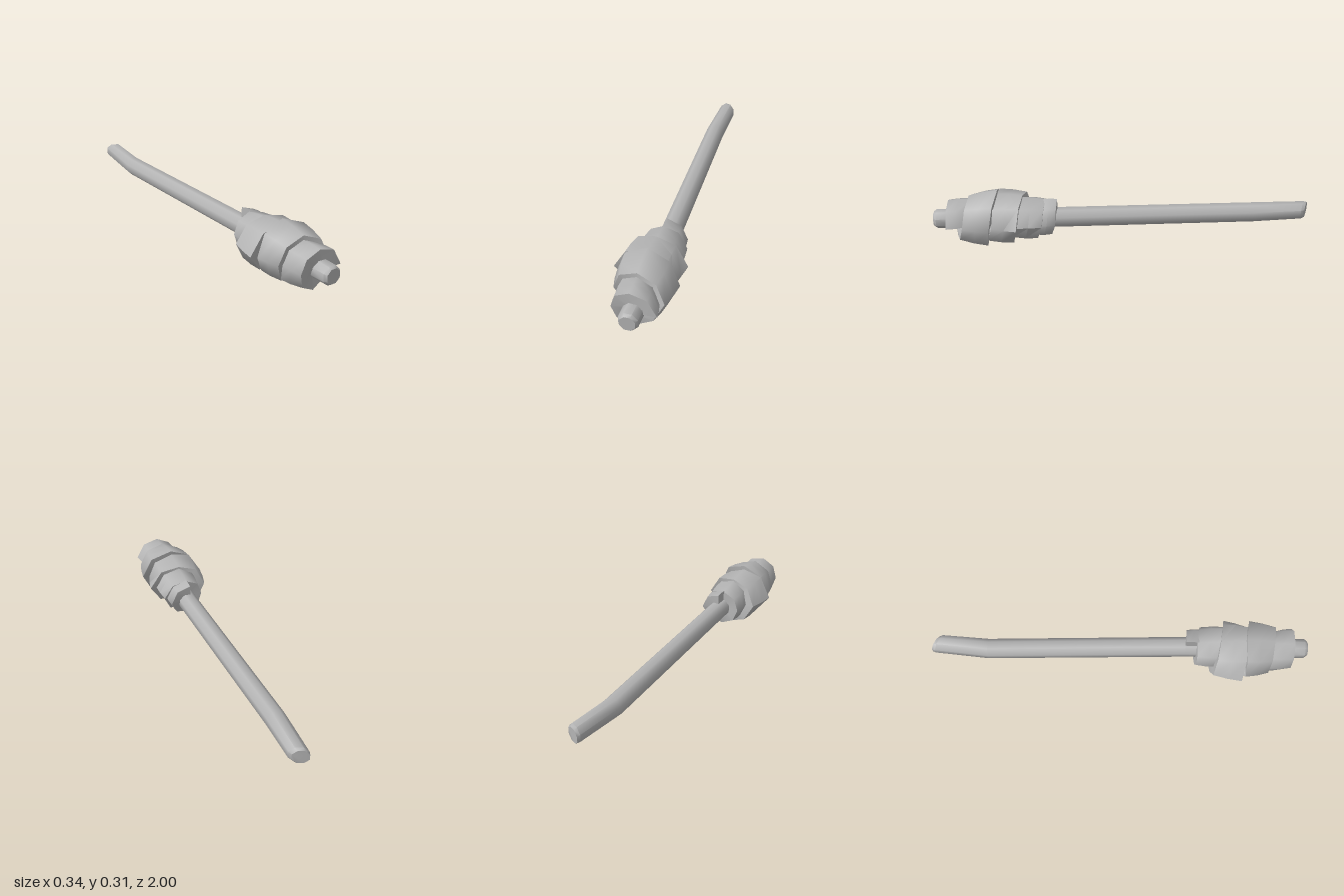
import * as THREE from 'three';
import { toCreasedNormals } from 'three/addons/utils/BufferGeometryUtils.js';

// Skin a closed solid over a row of cross-sections (each counter-clockwise seen from ahead).
function loft(rings, crease) {
  const n = rings[0].length, pos = [], idx = [];
  rings.forEach(r => r.forEach(p => pos.push(p.x, p.y, p.z)));
  for (let i = 0; i < rings.length - 1; i++) {
    for (let j = 0; j < n; j++) {
      const a = i * n + j, b = i * n + (j + 1) % n;
      idx.push(a, b, b + n, a, b + n, a + n);
    }
  }
  const last = (rings.length - 1) * n;
  for (let j = 1; j < n - 1; j++) {
    idx.push(0, j + 1, j);
    idx.push(last, last + j, last + j + 1);
  }
  const g = new THREE.BufferGeometry();
  g.setAttribute('position', new THREE.Float32BufferAttribute(pos, 3));
  g.setIndex(idx);
  return toCreasedNormals(g, crease);
}

export function createModel() {
  const group = new THREE.Group();
  const grey = new THREE.MeshStandardMaterial({ color: 0xb4b4b4 });
  grey.name = 'plain grey';

  // Stick: slightly bent octagonal rod; each entry is x, y, z, radius, end slant
  const spine = [
    [-0.005, 0.157, -0.98, 0.04, 0.45], [-0.004, 0.156, -0.962, 0.047, 0.4],
    [-0.019, 0.14, -0.7, 0.052, 0], [0.012, 0.148, 0.35, 0.053, 0],
    [0.015, 0.152, 0.9, 0.051, 0], [0.015, 0.153, 0.985, 0.05, 0], [0.015, 0.153, 1, 0.04, 0],
  ];
  const stickRings = spine.map(([x, y, z, r, slant]) =>
    Array.from({ length: 8 }, (_, j) => {
      const a = (j + 0.5) * Math.PI / 4, c = Math.cos(a) * r;
      return new THREE.Vector3(x + c, y + Math.sin(a) * r, z + c * slant);
    }));
  const stick = new THREE.Mesh(loft(stickRings, 0.85), grey);
  stick.name = 'stick';
  group.add(stick);

  // Dough: ribbon wound round the stick, one entry per quarter turn from the top:
  // back z, front z, radius at back edge, radius at front edge
  const wrap = [
    [0.35, 0.42, 0.1, 0.1], [0.36, 0.45, 0.108, 0.11], [0.4, 0.49, 0.095, 0.095], [0.41, 0.52, 0.09, 0.098],
    [0.41, 0.54, 0.098, 0.115], [0.43, 0.57, 0.125, 0.13], [0.48, 0.6, 0.12, 0.1], [0.5, 0.65, 0.145, 0.175],
    [0.53, 0.67, 0.125, 0.136], [0.56, 0.69, 0.166, 0.13], [0.6, 0.75, 0.122, 0.13], [0.67, 0.79, 0.15, 0.125],
    [0.66, 0.81, 0.158, 0.13], [0.7, 0.84, 0.167, 0.135], [0.73, 0.89, 0.149, 0.112], [0.79, 0.91, 0.1, 0.095],
    [0.8, 0.92, 0.107, 0.105], [0.83, 0.925, 0.108, 0.128],
  ];
  const doughRings = [];
  const steps = (wrap.length - 1) * 2;
  for (let s = 0; s <= steps; s++) {
    const k = Math.min(Math.floor(s / 2), wrap.length - 2), f = s / 2 - k;
    const [zb, zf, rb, rf] = wrap[k].map((v, i) => THREE.MathUtils.lerp(v, wrap[k + 1][i], f));
    const a = s / 2 * Math.PI / 2;
    const at = (r, z) => new THREE.Vector3(Math.sin(a) * r, 0.15 + Math.cos(a) * r, z);
    doughRings.push([
      at(0.035, zb), at(rb, zb), at((rb + rf) / 2 + 0.004, (zb + zf) / 2), at(rf, zf), at(0.035, zf),
    ]);
  }
  const dough = new THREE.Mesh(loft(doughRings, 0.95), grey);
  dough.name = 'doughWrap';
  group.add(dough);

  return group;
}
